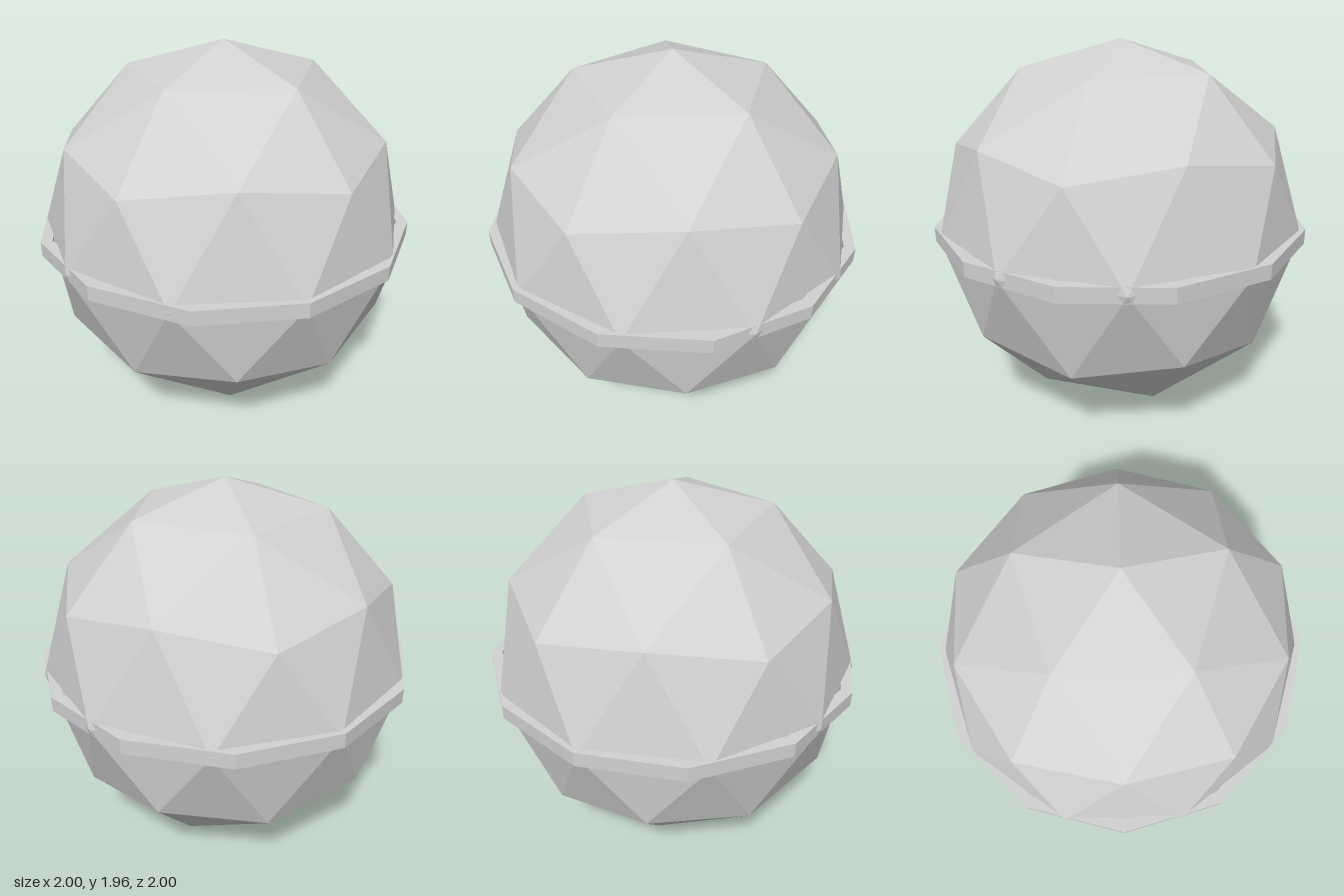
import * as THREE from 'three';

const CENTER_Y = 0.985;

// One normal per face for the low-poly look
function faceted(geometry) {
  const g = geometry.index ? geometry.toNonIndexed() : geometry;
  g.computeVertexNormals();
  return g;
}

export function createModel() {
  const model = new THREE.Group();
  model.name = 'ringedSphere';

  const grey = new THREE.MeshStandardMaterial({ color: 0xd2d2d2 });
  grey.name = 'light grey';

  // 80-sided ball, tipped so that a corner points straight up
  const ball = new THREE.IcosahedronGeometry(0.98, 1);
  ball.rotateZ(-Math.atan(2 / (1 + Math.sqrt(5))));
  const sphere = new THREE.Mesh(faceted(ball), grey);
  sphere.name = 'sphere';

  // Twelve-sided flat band round the equator, with a rectangular section
  const inner = 0.94, outer = 1, half = 0.039;
  const section = [
    [inner, -half], [outer, -half], [outer, half], [inner, half], [inner, -half],
  ].map(([r, y]) => new THREE.Vector2(r, y));
  const band = new THREE.Mesh(faceted(new THREE.LatheGeometry(section, 12)), grey);
  band.name = 'equatorBand';

  for (const part of [sphere, band]) {
    part.position.y = CENTER_Y;
    model.add(part);
  }
  return model;
}
